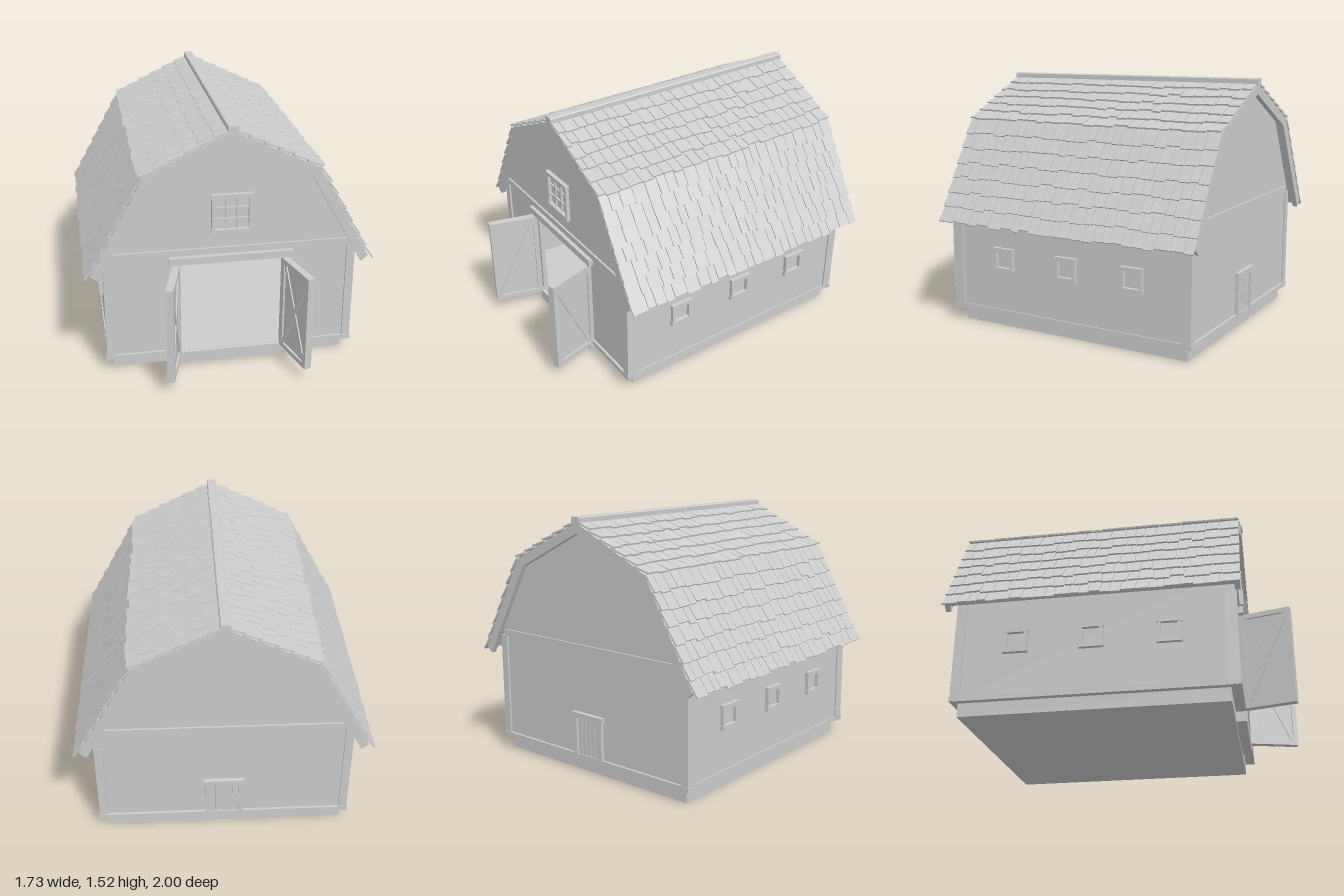
import * as THREE from 'three';
import { mergeGeometries } from 'three/addons/utils/BufferGeometryUtils.js';

const grey = new THREE.MeshStandardMaterial({ color: 0xcccccc });
grey.name = 'plain grey';

const FRONT = 0.685, BACK = -0.925; // outer faces of the gable walls
const ROOF_FRONT = 0.725, ROOF_BACK = -0.995;

// Box given by its limits
function box(x0, x1, y0, y1, z0, z1) {
  return new THREE.BoxGeometry(x1 - x0, y1 - y0, z1 - z0)
    .translate((x0 + x1) / 2, (y0 + y1) / 2, (z0 + z1) / 2);
}

// Board running from one point of the xy plane to another, spanning z0..z1
function board(x0, y0, x1, y1, thick, z0, z1) {
  return new THREE.BoxGeometry(Math.hypot(x1 - x0, y1 - y0), thick, z1 - z0)
    .rotateZ(Math.atan2(y1 - y0, x1 - x0))
    .translate((x0 + x1) / 2, (y0 + y1) / 2, (z0 + z1) / 2);
}

// Outline in the xy plane extruded over z0..z1
function slab(points, z0, z1, hole) {
  const shape = new THREE.Shape(points.map(p => new THREE.Vector2(...p)));
  if (hole) shape.holes.push(new THREE.Path(hole.map(p => new THREE.Vector2(...p))));
  return new THREE.ExtrudeGeometry(shape, { depth: z1 - z0, bevelEnabled: false }).translate(0, 0, z0);
}

function part(parent, name, ...geometries) {
  const plain = geometries.map(g => (g.index ? g.toNonIndexed() : g));
  const mesh = new THREE.Mesh(mergeGeometries(plain), grey);
  mesh.name = name;
  parent.add(mesh);
  return mesh;
}

// Mirror a right-hand outline to make a full symmetric one
const mirrored = half => [...half, ...half.slice().reverse().map(([x, y]) => [-x, y])];

// Square frame in the xy plane around the origin, facing +z, standing on z = 0
function frame(w, h, bar, depth) {
  return [
    box(-w / 2, w / 2, h / 2 - bar, h / 2, 0, depth),
    box(-w / 2, w / 2, -h / 2, -h / 2 + bar, 0, depth),
    box(-w / 2 + 0.004, -w / 2 + bar, -h / 2 + bar, h / 2 - bar, 0, depth * 0.9),
    box(w / 2 - bar, w / 2 - 0.004, -h / 2 + bar, h / 2 - bar, 0, depth * 0.9),
  ];
}

function seeded(seed) {
  return () => (seed = (seed * 16807) % 2147483647) / 2147483647;
}

// Overlapping shingles of uneven width on one roof slope
function shingles(side, top, bottom, rows, rand) {
  const out = [];
  const dx = bottom[0] - top[0], dy = bottom[1] - top[1], len = Math.hypot(dx, dy);
  const nx = -dy / len, ny = dx / len;
  for (let r = 0; r < rows; r++) {
    let z = ROOF_BACK;
    while (z < ROOF_FRONT - 0.005) {
      let end = z + 0.05 + rand() * 0.045;
      if (end > ROOF_FRONT - 0.035) end = ROOF_FRONT;
      const a = r / rows, b = (r + 1) / rows + (0.012 + (rand() - 0.5) * 0.02) / len;
      const lift = 0.017 + rand() * 0.004;
      out.push(board(
        side * (top[0] + dx * a + nx * 0.004), top[1] + dy * a + ny * 0.004,
        side * (top[0] + dx * b + nx * lift), top[1] + dy * b + ny * lift,
        0.01, z + 0.002, end - 0.002));
      z = end;
    }
  }
  return out;
}

export function createModel() {
  const barn = new THREE.Group();
  barn.name = 'barn';

  // Foundation, floor and door sill
  part(barn, 'foundation', box(-0.71, 0.71, 0, 0.085, -0.9, 0.64));
  part(barn, 'floor', box(-0.735, 0.735, 0.08, 0.092, BACK + 0.01, FRONT - 0.01));
  part(barn, 'doorSill', box(-0.32, 0.32, 0.02, 0.09, 0.6, 0.7));

  // Gable walls, the front one open for the doors
  const upper = [[0.74, 0.785], [0.485, 1.235], [0, 1.465]];
  const left = upper.slice(0, 2).reverse().map(([x, y]) => [-x, y]);
  part(barn, 'frontWall', slab([
    [0.31, 0.08], [0.74, 0.08], ...upper, ...left,
    [-0.74, 0.08], [-0.31, 0.08], [-0.31, 0.69], [0.31, 0.69]], FRONT - 0.03, FRONT));
  part(barn, 'backWall', slab([[0.74, 0.08], ...upper, ...left, [-0.74, 0.08]], BACK, BACK + 0.03));

  for (const s of [-1, 1]) {
    const span = (a, b, ...rest) => box(Math.min(s * a, s * b), Math.max(s * a, s * b), ...rest);
    part(barn, 'sideWall', span(0.71, 0.74, 0.08, 0.785, BACK + 0.02, FRONT - 0.02));
    part(barn, 'sideBaseTrim', span(0.735, 0.748, 0.08, 0.11, BACK, FRONT));
    part(barn, 'frontBaseTrim', span(0.31, 0.755, 0.08, 0.11, FRONT - 0.01, 0.7));
    // Corner boards wrap both faces
    part(barn, 'cornerBoards',
      span(0.7, 0.75, 0.082, 0.74, FRONT - 0.01, 0.697),
      span(0.735, 0.75, 0.082, 0.74, 0.63, 0.697),
      span(0.7, 0.75, 0.082, 0.74, -0.937, BACK + 0.01),
      span(0.735, 0.75, 0.082, 0.74, -0.937, -0.88));

    // Small side windows
    for (const z of [0.315, -0.13, -0.57]) {
      const w = part(barn, 'sideWindow', ...frame(0.145, 0.145, 0.024, 0.026));
      w.position.set(s * 0.739, 0.427, z);
      w.rotation.y = s * Math.PI / 2;
    }

    // Open door leaf with cross bracing on both faces
    const L = 0.31, y0 = 0.085, y1 = 0.68, t = 0.022, b = 0.03;
    const brace = (ya, yb) => board(b, ya, L - b, yb, 0.024, -0.018, 0.018);
    const door = part(barn, 'doorLeaf',
      box(0.01, L - 0.01, y0 + 0.01, y1 - 0.01, -0.01, 0.01),
      box(0, L, y0, y0 + b, -t, t), box(0, L, y1 - b, y1, -t, t),
      box(0, b, y0 + b, y1 - b, -t, t), box(L - b, L, y0 + b, y1 - b, -t, t),
      brace(y0 + b, y1 - b), brace(y1 - b, y0 + b));
    door.position.set(s * 0.325, 0, 0.692);
    door.rotation.y = -Math.PI / 2 + s * 0.26;
  }

  // Horizontal trims
  part(barn, 'frontBand', box(-0.715, 0.715, 0.74, 0.778, FRONT - 0.01, 0.697));
  part(barn, 'backBand', box(-0.715, 0.715, 0.74, 0.778, -0.937, BACK + 0.01));
  part(barn, 'backBaseTrim', box(-0.755, 0.755, 0.08, 0.11, -0.94, BACK + 0.01));
  part(barn, 'doorHeader', box(-0.37, 0.37, 0.688, 0.732, FRONT - 0.01, 0.715));

  // Loft window with nine panes
  const bars = [-0.034, 0.034].flatMap(p => [
    box(p - 0.005, p + 0.005, -0.1, 0.1, 0, 0.014),
    box(-0.1, 0.1, p - 0.005, p + 0.005, 0, 0.014)]);
  part(barn, 'loftWindow', ...frame(0.245, 0.24, 0.023, 0.026), ...bars)
    .position.set(0, 0.99, FRONT - 0.001);

  // Small slatted door in the back wall
  const slats = [-2, -1, 0, 1, 2].map(i => box(i * 0.034 - 0.015, i * 0.034 + 0.015, 0.09, 0.33, -0.934, BACK + 0.01));
  part(barn, 'backDoor', ...slats,
    box(-0.112, -0.088, 0.08, 0.34, -0.945, BACK + 0.01),
    box(0.088, 0.112, 0.08, 0.34, -0.945, BACK + 0.01),
    box(-0.122, 0.122, 0.335, 0.368, -0.95, BACK + 0.01));

  // Roof deck and the thicker barge boards on both gables
  const outer = [[0.825, 0.663], [0.505, 1.245], [0, 1.488]];
  const under = [[0, 1.465], [0.49, 1.229], [0.807, 0.653]];
  const inner = [[0, 1.428], [0.46, 1.202], [0.785, 0.628]];
  const band = low => {
    const ring = [...outer, ...outer.slice(0, 2).reverse().map(([x, y]) => [-x, y])];
    const back = low.slice().reverse().map(([x, y]) => [-x, y]);
    return [...ring, ...back.slice(0, 2), ...low];
  };
  part(barn, 'roofDeck', slab(band(under), ROOF_BACK + 0.01, ROOF_FRONT - 0.01));
  part(barn, 'frontBargeBoard', slab(band(inner), 0.69, ROOF_FRONT - 0.004));
  part(barn, 'backBargeBoard', slab(band(inner), ROOF_BACK + 0.004, -0.96));

  // Shingled slopes and ridge cap
  const rand = seeded(71);
  for (const s of [-1, 1]) {
    part(barn, 'lowerShingles', ...shingles(s, [0.505, 1.245], [0.835, 0.645], 7, rand));
    part(barn, 'upperShingles', ...shingles(s, [0.005, 1.486], [0.515, 1.24], 6, rand));
  }
  part(barn, 'ridgeCap', slab(mirrored([[0.024, 1.478], [0.03, 1.486], [0.03, 1.514], [0.024, 1.52]]), -1, 0.73));

  return barn;
}
